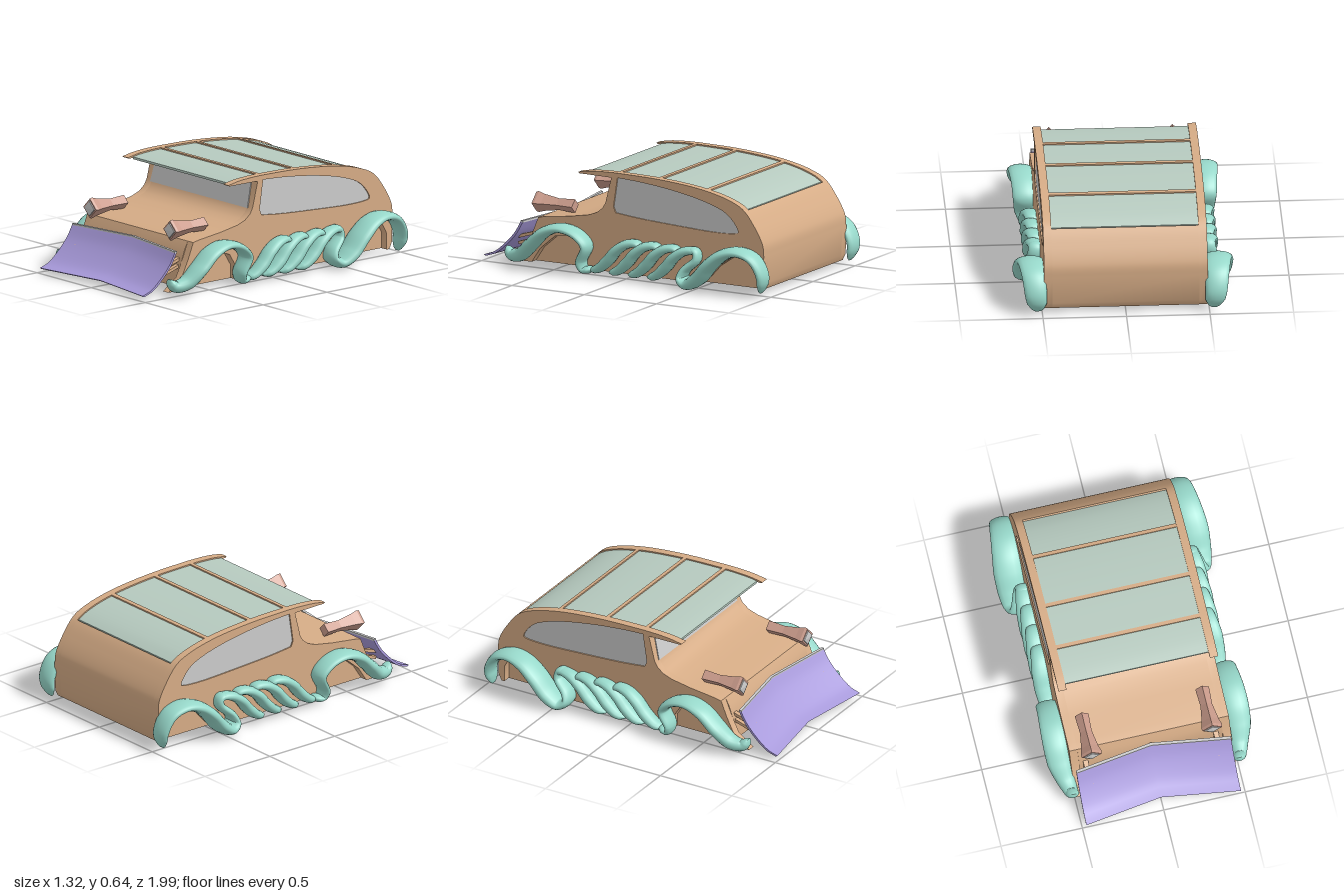
import * as THREE from 'three';
import { toCreasedNormals } from 'three/addons/utils/BufferGeometryUtils.js';

const mat = (color, side = THREE.FrontSide) => new THREE.MeshStandardMaterial({ color, side });
const V2 = (p) => new THREE.Vector2(p[0], p[1]);
const BODY_W = 0.49, RAIL = 0.05, INNER = BODY_W - RAIL;

// Roof line in (z, y), front to back
const roof = new THREE.SplineCurve([
  [0.34, 0.626], [0.25, 0.641], [0.13, 0.648], [0, 0.648], [-0.2, 0.643], [-0.4, 0.628], [-0.55, 0.607],
  [-0.69, 0.573], [-0.8, 0.522], [-0.88, 0.425], [-0.935, 0.325], [-0.945, 0.25]].map(V2)).getPoints(80);
const roofY = (z) => {
  const i = Math.max(1, roof.findIndex((p) => p.x <= z));
  const a = roof[i - 1], b = roof[i];
  return a.y + (b.y - a.y) * (z - a.x) / (b.x - a.x);
};
// Points that follow the roof between two z values, lowered by d
const roofRun = (z0, z1, d, n = 24) => Array.from({ length: n + 1 }, (_, i) => {
  const z = z0 + (z1 - z0) * i / n;
  return [z, roofY(z) - d];
});

// Extrude a (z, y) outline across x from x0 to x1
function across(points, x0, x1, hole, steps = 1) {
  const shape = new THREE.Shape(points.map(V2));
  if (hole) shape.holes.push(new THREE.Path(hole.map(V2)));
  const g = new THREE.ExtrudeGeometry(shape, { depth: x1 - x0, steps, bevelEnabled: false });
  g.rotateY(-Math.PI / 2).translate(x1, 0, 0);
  return g;
}

// Sweep an oval along a (z, y) path; rows are [z, y, half thickness, outer x]
function vine(rows, s, n = 90, m = 16) {
  const path = new THREE.CatmullRomCurve3(rows.map((r) => new THREE.Vector3(0, r[1], r[0])));
  const size = new THREE.CatmullRomCurve3(rows.map((r) => new THREE.Vector3(r[2], r[3], 0)));
  const pos = [], idx = [], inner = 0.475;
  for (let i = 0; i <= n; i++) {
    const p = path.getPoint(i / n), t = path.getTangent(i / n), q = size.getPoint(i / n);
    const end = Math.min(1, Math.sqrt(Math.min(i, n - i) / 4));
    const hw = (q.y - inner) / 2 * (0.3 + 0.7 * end);
    for (let j = 0; j < m; j++) {
      const a = j / m * Math.PI * 2, h = q.x * end * Math.sin(a);
      pos.push(s * ((q.y + inner) / 2 + hw * Math.cos(a)), p.y + t.z * h, p.z - t.y * h);
    }
  }
  for (let i = 0; i < n; i++) for (let j = 0; j < m; j++) {
    const a = i * m + j, b = i * m + (j + 1) % m, c = a + m, d = b + m;
    if (s > 0) idx.push(a, b, c, b, d, c); else idx.push(a, c, b, b, c, d);
  }
  const g = new THREE.BufferGeometry();
  g.setAttribute('position', new THREE.Float32BufferAttribute(pos, 3));
  g.setIndex(idx);
  g.computeVertexNormals();
  return g;
}

export function createModel() {
  const car = new THREE.Group();
  const tan = mat(0xd6ac86), teal = mat(0x97d8ca, THREE.DoubleSide), grey = mat(0xcccccc);
  const roofGlass = mat(0xb6cabf), purple = mat(0xa89adb), pink = mat(0xcb9c8c);
  const add = (name, geo, m, parent = car) => {
    const mesh = new THREE.Mesh(geo, m);
    mesh.name = name;
    parent.add(mesh);
    return mesh;
  };
  const smooth = (g) => toCreasedNormals(g, 0.6);

  // Shared outline of windscreen foot, bonnet and nose
  const bonnet = [[0.11, 0.617], [0.15, 0.46], [0.17, 0.425], [0.21, 0.393], [0.27, 0.371], [0.4, 0.348], [0.57, 0.327], [0.615, 0.318]];
  const tail = roof.filter((p) => p.x < -0.8).map((p) => [p.x, p.y]);

  // Central body
  add('body', smooth(across([
    ...roofRun(0.11, -0.8, 0.02), ...tail, [-0.94, 0.08], [-0.92, 0.04],
    [0.67, 0.04], [0.665, 0.2], [0.64, 0.27], ...bonnet.slice().reverse()], -INNER, INNER)), tan);

  // Side panels with window opening, roof rail and wheel arches
  const windowLine = new THREE.SplineCurve([
    [0.08, 0.405], [-0.1, 0.387], [-0.4, 0.37], [-0.6, 0.362], [-0.74, 0.368], [-0.765, 0.39], [-0.72, 0.455],
    [-0.65, 0.503], [-0.5, 0.55], [-0.3, 0.587], [-0.1, 0.61], [0.068, 0.62]].map(V2))
    .getPoints(50).map((p) => [p.x, p.y]).concat([[0.095, 0.44]]);
  const panel = [
    ...roof.map((p) => [p.x, p.y]), [-0.94, 0.08], [-0.92, 0.04],
    [-0.9, 0.04], [-0.9, 0.14], [-0.85, 0.23], [-0.73, 0.225], [-0.62, 0.15], [-0.52, 0.04],
    [0.28, 0.04], [0.28, 0.12], [0.33, 0.2], [0.41, 0.23], [0.5, 0.215], [0.6, 0.13], [0.66, 0.04],
    [0.81, 0.04], [0.71, 0.11], [0.655, 0.22], ...bonnet.slice().reverse(), [0.33, 0.619]];

  // Vine trim rows: front fender flowing into the first twist
  const front = [
    [0.82, 0.125, 0.018, 0.54], [0.785, 0.08, 0.035, 0.56], [0.71, 0.09, 0.042, 0.59], [0.62, 0.17, 0.04, 0.625],
    [0.53, 0.25, 0.034, 0.63], [0.42, 0.285, 0.027, 0.625], [0.31, 0.255, 0.026, 0.615], [0.25, 0.19, 0.026, 0.61],
    [0.29, 0.09, 0.024, 0.6], [0.275, 0.045, 0.022, 0.58], [0.21, 0.055, 0.024, 0.57]];
  const rear = [
    [-0.44, 0.245, 0.025, 0.56], [-0.495, 0.235, 0.022, 0.56], [-0.5, 0.19, 0.024, 0.57], [-0.43, 0.12, 0.026, 0.6],
    [-0.415, 0.075, 0.026, 0.62], [-0.46, 0.045, 0.034, 0.64], [-0.54, 0.09, 0.044, 0.655], [-0.62, 0.18, 0.042, 0.66],
    [-0.71, 0.25, 0.036, 0.65], [-0.81, 0.275, 0.028, 0.635], [-0.91, 0.24, 0.027, 0.62],
    [-0.965, 0.14, 0.028, 0.605], [-0.95, 0.035, 0.02, 0.58]];

  for (const s of [1, -1]) {
    const side = new THREE.Group();
    side.name = s > 0 ? 'leftSide' : 'rightSide';
    car.add(side);
    const [x0, x1] = s > 0 ? [INNER, BODY_W] : [-BODY_W, -INNER];
    add('sidePanel', smooth(across(panel, x0, x1, windowLine)), tan, side);
    const gx = s * (BODY_W - 0.012);
    add('sideWindow', across(windowLine, gx - 0.004, gx + 0.004), grey, side);

    add('frontFender', vine(front, s), teal, side);
    add('rearFender', vine(rear, s), teal, side);
    // Twisted strands between the fenders
    for (let i = 0; i < 4; i++) {
      const z = -0.132 * i;
      add('twistStrand', vine([
        [0.24 + z, 0.045, 0.018, 0.55], [0.18 + z, 0.06, 0.028, 0.575], [0.11 + z, 0.115, 0.034, 0.585],
        [0.05 + z, 0.185, 0.032, 0.585], [-0.02 + z, 0.23, 0.028, 0.575], [-0.09 + z, 0.236, 0.022, 0.56],
        [-0.115 + z, 0.2, 0.018, 0.55]], s, 40, 12), teal, side);
    }

    // Square flared headlamp
    const lamp = new THREE.Group();
    lamp.name = 'headlamp';
    lamp.position.set(s * 0.37, 0.383, 0);
    side.add(lamp);
    const turn = (pts) => {
      const g = new THREE.LatheGeometry(pts.map(V2), 4).toNonIndexed();
      g.computeVertexNormals();
      return g.rotateX(Math.PI / 2);
    };
    add('lampHousing', turn([[0, 0.43], [0.042, 0.43], [0.036, 0.54], [0.052, 0.64], [0.064, 0.68], [0.06, 0.697], [0.05, 0.697], [0, 0.69]]), pink, lamp);
    add('lampLens', turn([[0.05, 0.694], [0.045, 0.702], [0, 0.708]]), grey, lamp);

    // Arms that carry the blade
    for (const y of [0.15, 0.19]) {
      const arm = add('bladeArm', new THREE.BoxGeometry(0.03, 0.018, 0.16), tan, side);
      arm.position.set(s * 0.4, y, 0.72);
      arm.rotation.x = 0.3;
    }
  }

  // Windscreen
  const screen = new THREE.Shape([[-0.45, 0], [0.45, 0], [0.436, 0.178], [-0.436, 0.178]].map(V2));
  const pane = add('windscreen', new THREE.ExtrudeGeometry(screen, { depth: 0.006, bevelEnabled: false }), grey);
  pane.position.set(0, 0.45, 0.152);
  pane.rotation.x = -0.25;

  // Glass roof and its crossbars
  add('roofGlass', smooth(across([...roofRun(0.3, -0.8, 0.008), ...roofRun(-0.8, 0.3, 0.022)], -INNER, INNER)), roofGlass);
  for (const z of [0.07, -0.205, -0.535])
    add('roofCrossbar', across([...roofRun(z + 0.012, z - 0.012, 0, 2), ...roofRun(z - 0.012, z + 0.012, 0.02, 2)], -INNER, INNER), tan);

  // V-shaped front blade: curved strip swept back towards the middle
  const face = new THREE.SplineCurve([[1, 0.045], [0.93, 0.07], [0.86, 0.125], [0.79, 0.2], [0.745, 0.275]].map(V2)).getPoints(14);
  const blade = across([...face.map((p) => [p.x, p.y]), ...face.slice().reverse().map((p) => [p.x - 0.012, p.y - 0.008])], -0.475, 0.475, null, 2);
  const bp = blade.attributes.position;
  for (let i = 0; i < bp.count; i++) bp.setZ(i, bp.getZ(i) - 0.07 * (1 - Math.abs(bp.getX(i)) / 0.475));
  add('frontBlade', smooth(blade), purple);
  // Pale lip on the blade's top edge
  const lip = across([[0.748, 0.268], [0.748, 0.28], [0.73, 0.28], [0.73, 0.268]], -0.475, 0.475, null, 2);
  const lp = lip.attributes.position;
  for (let i = 0; i < lp.count; i++) lp.setZ(i, lp.getZ(i) - 0.07 * (1 - Math.abs(lp.getX(i)) / 0.475));
  lip.computeVertexNormals();
  add('bladeLip', lip, grey);

  return car;
}
